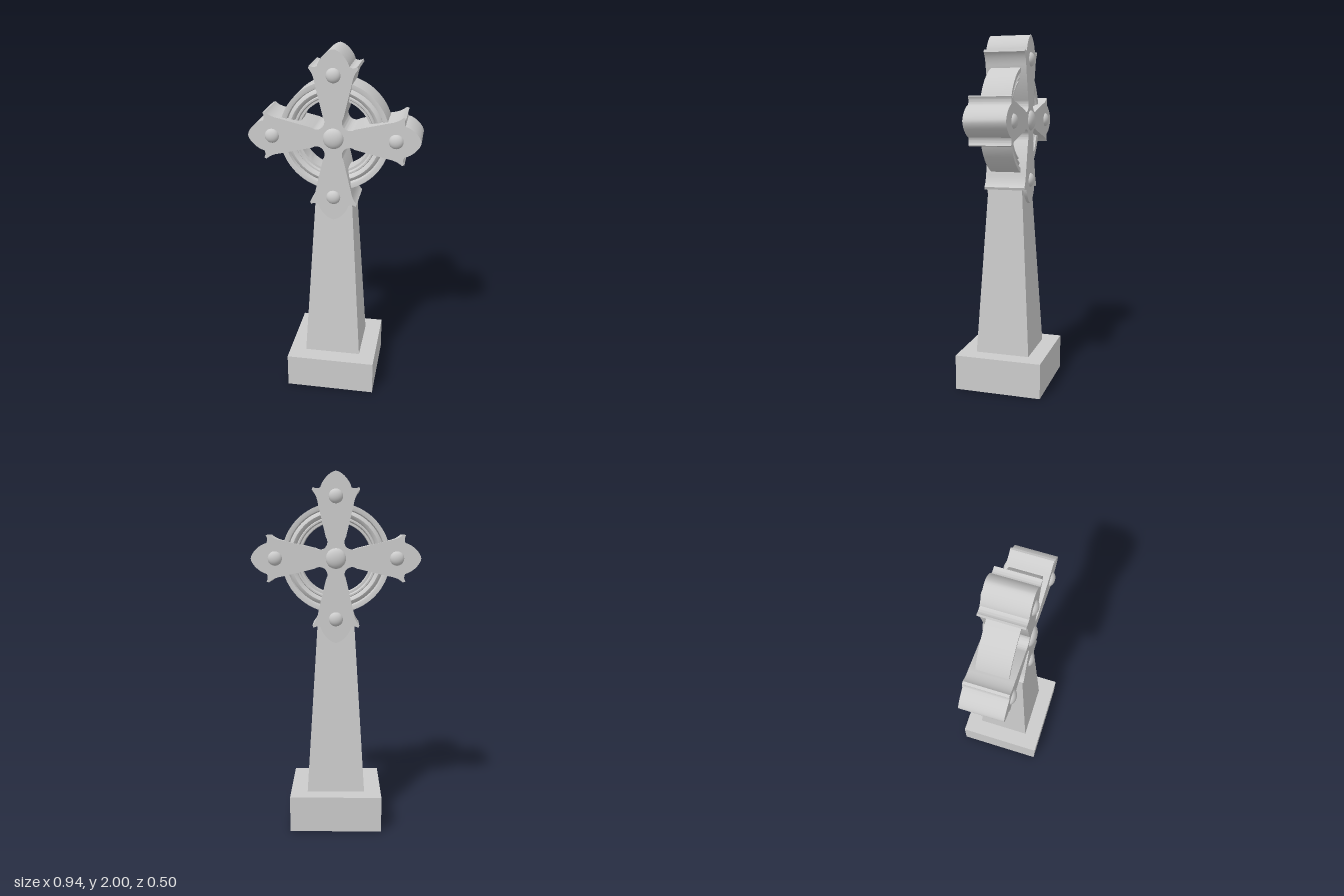
import * as THREE from 'three';
import { toCreasedNormals } from 'three/addons/utils/BufferGeometryUtils.js';

const CENTRE_Y = 1.53;
const CENTRE_Z = -0.004;

export function createModel() {
  const model = new THREE.Group();
  model.name = 'wheelCross';
  const stone = new THREE.MeshStandardMaterial({ color: 0xcccccc });

  const add = (name, geometry, parent = model) => {
    const mesh = new THREE.Mesh(geometry, stone);
    mesh.name = name;
    parent.add(mesh);
    return mesh;
  };

  // Plinth
  add('plinth', new THREE.BoxGeometry(0.514, 0.2, 0.497)).position.set(0, 0.1, 0);

  // Tapered shaft: a box whose upper corners are drawn in
  const shaft = new THREE.BoxGeometry(0.325, 1, 0.31);
  const p = shaft.attributes.position;
  for (let i = 0; i < p.count; i++) {
    if (p.getY(i) > 0) p.setXYZ(i, p.getX(i) * 0.62, p.getY(i), p.getZ(i) * 0.62);
  }
  shaft.computeVertexNormals();
  add('shaft', shaft).position.set(0, 0.7, -0.001);

  // Cross head, built around its own centre
  const head = new THREE.Group();
  head.name = 'crossHead';
  head.position.set(0, CENTRE_Y, CENTRE_Z);
  model.add(head);

  // Half of one arm's outline: round notch, flared edge, horn, pointed lobe
  const half = new THREE.Path();
  half.absarc(0.09, 0.09, 0.043, Math.PI * 1.25, Math.PI * 0.8, true);
  half.lineTo(0.098, 0.295);
  half.quadraticCurveTo(0.106, 0.345, 0.131, 0.37);
  half.lineTo(0.126, 0.384);
  half.quadraticCurveTo(0.105, 0.37, 0.084, 0.382);
  half.bezierCurveTo(0.078, 0.415, 0.036, 0.465, 0, 0.469);
  const right = half.getPoints(10);
  const left = right.slice(1, -1).reverse().map((v) => new THREE.Vector2(-v.x, v.y));
  const arm = [...right, ...left];

  // Four arms turned about the centre make one outline
  const outline = [];
  const origin = new THREE.Vector2();
  for (let i = 0; i < 4; i++) {
    for (const v of arm) outline.push(v.clone().rotateAround(origin, i * Math.PI / 2));
  }
  const cross = new THREE.ExtrudeGeometry(new THREE.Shape(outline), { depth: 0.233, bevelEnabled: false });
  cross.translate(0, 0, -0.1165);
  add('cross', toCreasedNormals(cross, 0.5), head);

  // Moulded ring: the face profile runs outwards and is mirrored front to back
  const face = [
    [0.2, 0.055], [0.212, 0.055], [0.218, 0.068], [0.226, 0.068], [0.23, 0.058],
    [0.237, 0.07], [0.25, 0.077], [0.263, 0.07], [0.27, 0.06],
    [0.275, 0.082], [0.285, 0.085], [0.302, 0.085],
  ];
  const profile = [
    ...face.map(([r, z]) => new THREE.Vector2(r, z)).reverse(),
    ...face.map(([r, z]) => new THREE.Vector2(r, -z)),
  ];
  profile.push(profile[0].clone());
  const ring = new THREE.LatheGeometry(profile, 72);
  ring.rotateX(Math.PI / 2);
  add('ring', toCreasedNormals(ring, 0.6), head);

  // Domed bosses on both faces
  const addBoss = (name, x, y, side, radius, rise) => {
    const boss = add(name, new THREE.SphereGeometry(radius, 28, 18), head);
    boss.scale.z = rise / radius;
    boss.position.set(x, y, side * 0.112);
  };
  for (const side of [1, -1]) {
    addBoss('centreBoss', 0, 0, side, 0.057, 0.03);
    for (let i = 0; i < 4; i++) {
      const a = i * Math.PI / 2;
      addBoss('armBoss', 0.336 * Math.cos(a), 0.336 * Math.sin(a), side, 0.04, 0.027);
    }
  }

  return model;
}
